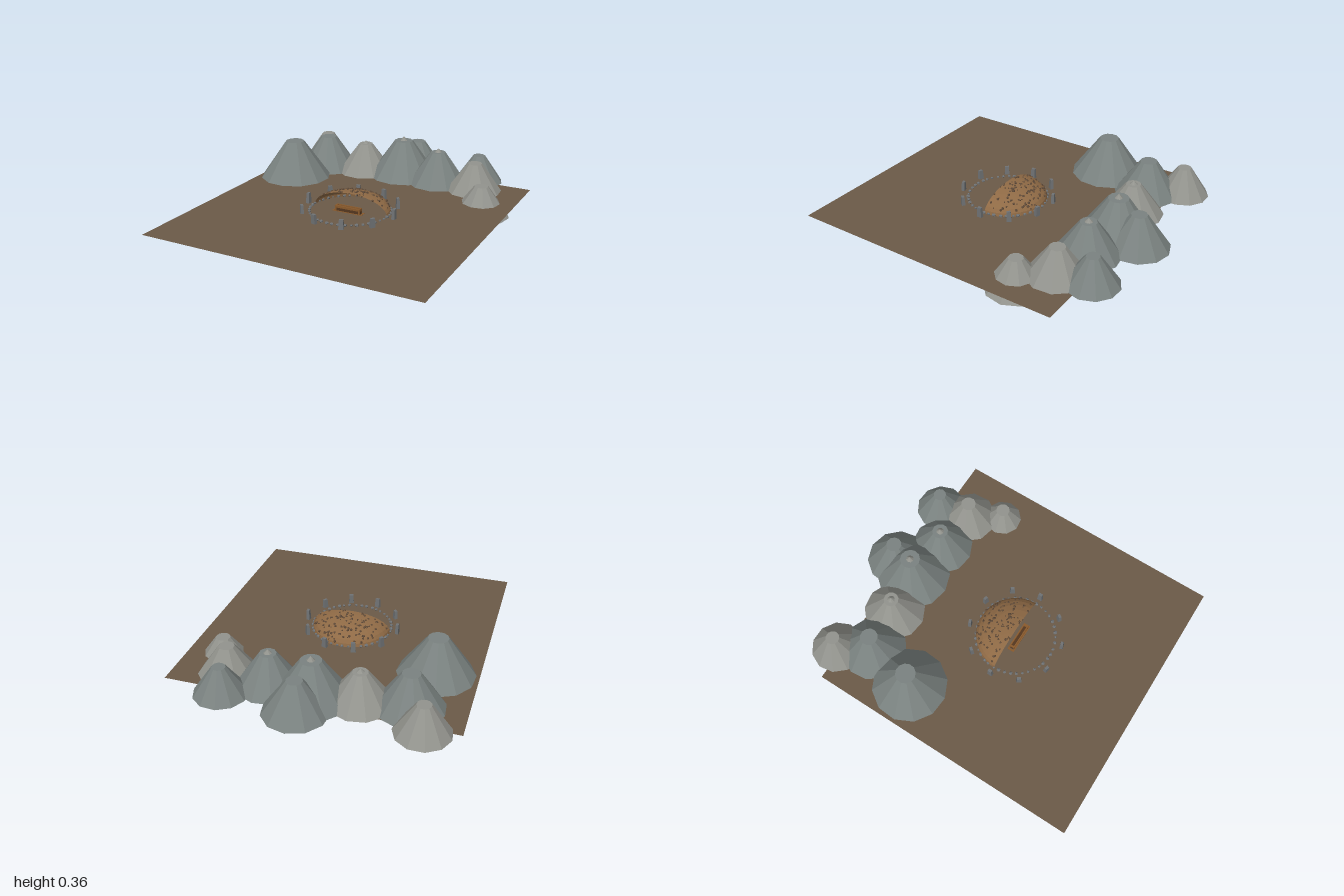
import * as THREE from 'three';

const GROUND = 0.085;
const CZ = 0.125; // centre of the stone circle

function seeded(seed) {
  return () => {
    seed = (seed * 16807) % 2147483647;
    return seed / 2147483647;
  };
}

const mat = (color, extra = {}) =>
  new THREE.MeshStandardMaterial({ color, flatShading: true, roughness: 0.95, ...extra });

export function createModel() {
  const root = new THREE.Group();
  const rand = seeded(4711);
  const rockDark = mat(0x7a8280), rockLight = mat(0x92938d), stone = mat(0x6f7274);
  const earth = mat(0x6b5a48, { side: THREE.DoubleSide });
  const clay = mat(0x8f6a45, { side: THREE.DoubleSide });
  const wood = mat(0x8a5a2c), woodDark = mat(0x54371f), stud = mat(0x5f4a38);

  function add(parent, name, geometry, material, x = 0, y = 0, z = 0) {
    const m = new THREE.Mesh(geometry, material);
    m.name = name;
    m.position.set(x, y, z);
    parent.add(m);
    return m;
  }
  function group(name) {
    const g = new THREE.Group();
    g.name = name;
    root.add(g);
    return g;
  }

  // Flat square ground
  add(root, 'ground', new THREE.PlaneGeometry(1.74, 1.74).rotateX(-Math.PI / 2), earth, 0, GROUND, 0.13);

  // Mountains: x, z, base radius, top radius, base y, top y, sides, light rock, peak height
  const mountains = group('mountains');
  [
    [-0.66, -0.77, 0.165, 0.042, 0.083, 0.265, 11, 1, 0],
    [-0.545, -0.575, 0.205, 0.053, 0.084, 0.305, 12, 0, 0],
    [-0.27, -0.61, 0.195, 0.046, 0.083, 0.28, 11, 1, 0.022],
    [0, -0.65, 0.235, 0.062, 0.083, 0.328, 12, 0, 0.028],
    [0.04, -0.805, 0.195, 0.048, 0.083, 0.29, 11, 0, 0],
    [0.27, -0.61, 0.2, 0.05, 0.083, 0.295, 11, 0, 0.024],
    [0.5, -0.77, 0.162, 0.04, 0.083, 0.26, 11, 0, 0],
    [0.54, -0.575, 0.18, 0.047, 0.083, 0.268, 10, 1, 0],
    [0.655, -0.385, 0.183, 0.044, 0, 0.19, 10, 1, 0],
    [-0.622, -0.25, 0.233, 0.061, 0.1, 0.345, 12, 0, 0],
  ].forEach(([x, z, r, rt, y0, y1, n, light, peak], i) => {
    const body = add(mountains, 'mountain', new THREE.CylinderGeometry(rt, r, y1 - y0, n),
      light ? rockLight : rockDark, x, (y0 + y1) / 2, z);
    body.rotation.y = i * 0.37;
    if (peak) add(mountains, 'mountainPeak', new THREE.ConeGeometry(0.024, peak, 8), rockLight, x, y1 + peak / 2, z);
  });

  // Half dome shell, open to the front
  const dome = group('halfDome');
  dome.position.set(0, GROUND, CZ);
  const R = 0.25, H = 0.11;
  const shell = new THREE.SphereGeometry(R, 20, 8, Math.PI, Math.PI, 0, Math.PI / 2);
  add(dome, 'domeShell', shell.scale(1, H / R, 1), clay);

  // Small rocks set into the shell
  const rock = new THREE.DodecahedronGeometry(1, 0);
  for (let i = 0; i < 130; i++) {
    const a = Math.PI * (1 + rand()), s = Math.sqrt(rand()) * 0.98;
    const m = add(dome, 'domeRock', rock, stud,
      Math.cos(a) * s * R, Math.sqrt(1 - s * s) * H, Math.sin(a) * s * R);
    m.scale.setScalar(0.004 + rand() * 0.005);
    m.rotation.set(rand() * 3, rand() * 3, rand() * 3);
  }

  // Ring of pebbles at the foot of the dome and across the front
  const ring = group('pebbleRing');
  const pebbles = 42;
  for (let i = 0; i < pebbles; i++) {
    const a = ((i + 0.3 * rand()) / pebbles) * Math.PI * 2;
    const m = add(ring, 'pebble', rock, stone, Math.cos(a) * R, GROUND + 0.006, CZ + Math.sin(a) * R);
    const s = 0.007 + rand() * 0.005;
    m.scale.set(s, s * 0.9, s * 1.2);
    m.rotation.y = rand() * 6;
  }

  // Ten tapered standing stones
  const circle = group('standingStones');
  const slab = new THREE.CylinderGeometry(0.6, 0.78, 1, 4, 1).rotateY(Math.PI / 4);
  for (let i = 0; i < 10; i++) {
    const a = (i / 10) * Math.PI * 2, h = 0.055 + rand() * 0.012;
    const m = add(circle, 'standingStone', slab, stone,
      Math.cos(a) * 0.295, GROUND + h / 2, CZ + Math.sin(a) * 0.295);
    m.scale.set(0.02, h, 0.029);
    m.rotation.set((rand() - 0.5) * 0.08, -a, (rand() - 0.5) * 0.08);
  }

  // Sunken wooden trough in front of the dome opening
  const trough = group('trough');
  trough.position.set(0, 0, 0.15);
  const box = (name, w, h, d, x, y, z, m = wood) => add(trough, name, new THREE.BoxGeometry(w, h, d), m, x, y, z);
  box('troughFloor', 0.2, 0.01, 0.044, 0, 0.05, 0);
  box('troughCore', 0.17, 0.05, 0.022, 0, 0.08, 0, woodDark);
  for (const s of [-1, 1]) {
    box('troughRail', 0.17, 0.014, 0.008, 0, 0.113, s * 0.013);
    box('troughWall', 0.2, 0.032, 0.008, 0, 0.071, s * 0.018);
    box('troughEnd', 0.01, 0.032, 0.036, s * 0.095, 0.071, 0);
    box('troughPost', 0.01, 0.065, 0.03, s * 0.08, 0.087, 0);
  }
  return root;
}
